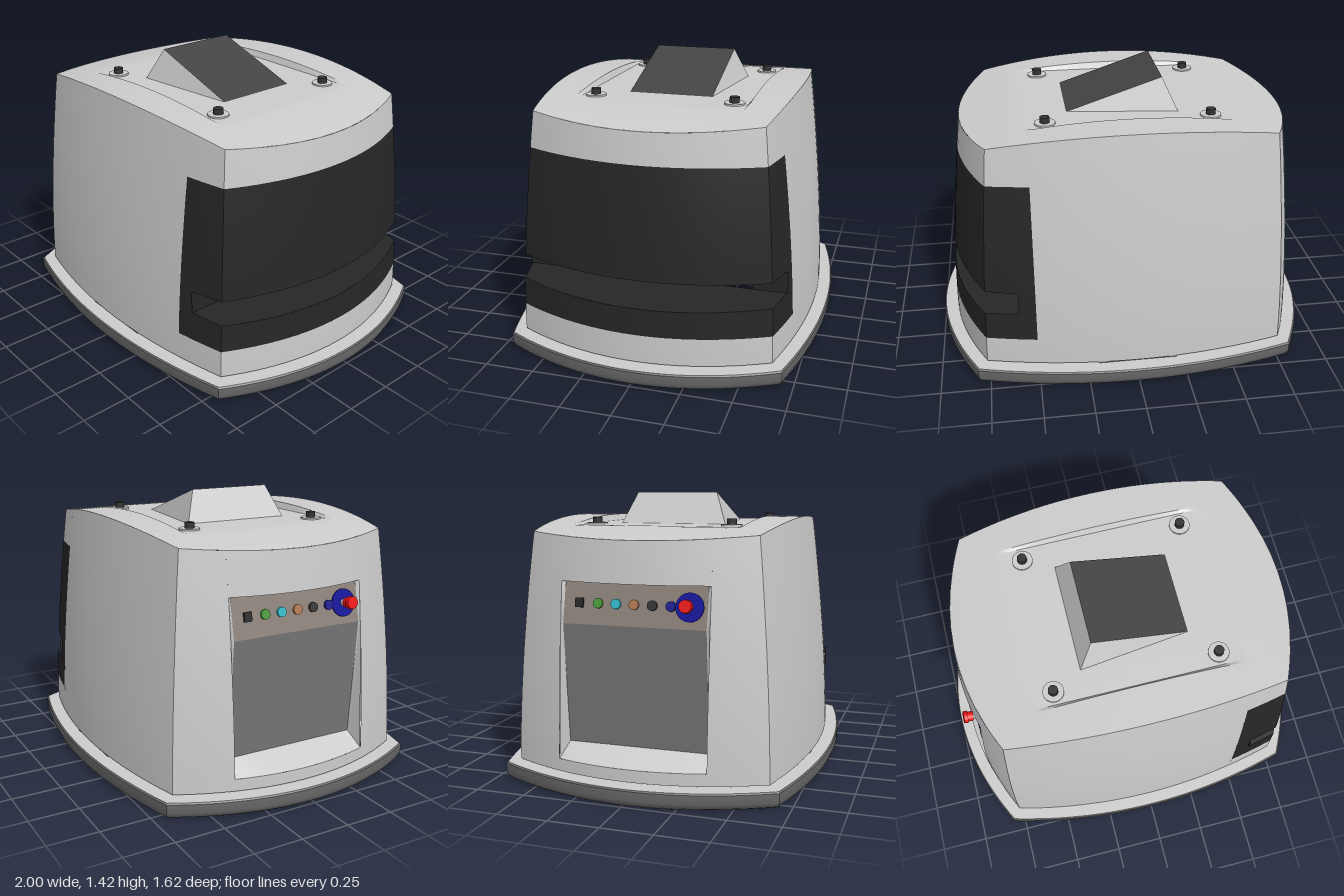
import * as THREE from 'three';
import { toCreasedNormals } from 'three/addons/utils/BufferGeometryUtils.js';

const LIGHT = 0xcccccc, DARK = 0x262626, GREY = 0x777777, RUBBER = 0x6a6a6a;
const lerp = THREE.MathUtils.lerp, clamp = THREE.MathUtils.clamp;

const material = (color) => new THREE.MeshStandardMaterial({ color, side: THREE.DoubleSide });

// Grid surface from a rule f(u, v) -> [x, y, z], u and v in 0..1
function patch(parent, name, color, nu, nv, f, crease = 0) {
  const pos = [], index = [];
  for (let j = 0; j <= nv; j++) for (let i = 0; i <= nu; i++) pos.push(...f(i / nu, j / nv));
  for (let j = 0; j < nv; j++) for (let i = 0; i < nu; i++) {
    const a = j * (nu + 1) + i, b = a + nu + 1;
    index.push(a, a + 1, b + 1, a, b + 1, b);
  }
  // turn the winding so that fronts face away from the middle of the model
  const at = (k) => new THREE.Vector3().fromArray(pos, k * 3);
  const m = (nv >> 1) * (nu + 1) + (nu >> 1);
  const o = at(m), n = at(m + 1).sub(o).cross(at(m + nu + 1).sub(o));
  if (n.dot(o.clone().sub(new THREE.Vector3(0, 0.5, 0))) < 0) index.reverse();
  let geo = new THREE.BufferGeometry();
  geo.setAttribute('position', new THREE.Float32BufferAttribute(pos, 3));
  geo.setIndex(index);
  geo.computeVertexNormals();
  if (crease) geo = toCreasedNormals(geo, crease);
  const mesh = new THREE.Mesh(geo, material(color));
  mesh.name = name;
  parent.add(mesh);
  return mesh;
}

// Four-arc outline: corners at (cx, cz), arcs bulging out to bx and bz
const plan = (d, u, v) => [
  u * (d.bx - (d.bx - d.cx) * v * v),
  v * (d.bz - (d.bz - d.cz) * u * u),
];
const Y0 = 0.095;
function bodyDims(y) {
  const t = Math.pow(Math.max(0, (y - Y0) / 1.14), 1.6);
  return { cx: 0.762 - 0.062 * t, cz: 0.64 - 0.075 * t, bx: 0.928 - 0.096 * t, bz: 0.737 - 0.1 * t };
}
const roofY = (x) => 1.294 - 0.122 * x * x;
const slotLow = (x) => lerp(0.385, 0.37, (x - 0.59) / 0.32);
const slotHigh = (x) => lerp(0.495, 0.51, (x - 0.59) / 0.32);
const flat = (y) => () => y;

// Piece of a body wall between positions a and b (x on long sides, z on ends)
function wall(parent, name, color, axis, sign, a, b, lo, hi) {
  patch(parent, name, color, 24, 12, (u, v) => {
    let y = 0.7, p;
    for (let k = 0; k < 7; k++) {
      const d = bodyDims(y), c = axis === 'z' ? d.cx : d.cz;
      const s = lerp(clamp(a, -c, c), clamp(b, -c, c), u) / c;
      p = axis === 'z' ? plan(d, s, sign) : plan(d, sign, s);
      y = lerp(lo(p[0]), hi(p[0]), v);
    }
    return [p[0], y, p[1]];
  });
}

// Point on the right-hand end wall (-x) at height y and depth z
function endPoint(y, z) {
  const d = bodyDims(y);
  return [plan(d, -1, z / d.cz)[0], y, z];
}

function addBody(g) {
  const base = flat(Y0), p0 = flat(0.235), p1 = flat(1.055);
  // long sides with the dark panel wrapping round
  for (const s of [1, -1]) {
    wall(g, 'sideWall', LIGHT, 'z', s, -9, 0.505, base, roofY);
    wall(g, 'sideWallBelowPanel', LIGHT, 'z', s, 0.505, 9, base, p0);
    wall(g, 'sideWallAbovePanel', LIGHT, 'z', s, 0.505, 9, p1, roofY);
    wall(g, 'panelSideLower', DARK, 'z', s, 0.505, 9, p0, slotLow);
    wall(g, 'panelSideUpper', DARK, 'z', s, 0.505, 9, slotHigh, p1);
    wall(g, 'panelSideStrip', DARK, 'z', s, 0.505, 0.59, slotLow, slotHigh);
    // back wall of the slot, open in the middle
    patch(g, 'slotBack', DARK, 1, 1, (u, v) => [0.59, lerp(0.385, 0.495, v), s * lerp(0.5, 0.675, u)]);
  }
  // panel end
  wall(g, 'endWallBelowPanel', LIGHT, 'x', 1, -9, 9, base, p0);
  wall(g, 'endWallAbovePanel', LIGHT, 'x', 1, -9, 9, p1, roofY);
  wall(g, 'panelEndLower', DARK, 'x', 1, -9, 9, p0, slotLow);
  wall(g, 'panelEndUpper', DARK, 'x', 1, -9, 9, slotHigh, p1);
  // floor and ceiling of the slot
  for (const [name, h] of [['slotFloor', slotLow], ['slotCeiling', slotHigh]])
    patch(g, name, DARK, 12, 24, (u, v) => {
      const d = bodyDims(h(0.8)), w = v * 2 - 1;
      const u0 = 0.59 / (d.bx - (d.bx - d.cx) * w * w);
      const [x, z] = plan(d, lerp(u0, 1, u), w);
      return [x, h(x), z];
    });
  // control end, around the pocket
  wall(g, 'endWallEdge', LIGHT, 'x', -1, -9, -0.37, base, roofY);
  wall(g, 'endWallEdge', LIGHT, 'x', -1, 0.37, 9, base, roofY);
  wall(g, 'endWallBelowPocket', LIGHT, 'x', -1, -0.37, 0.37, base, flat(0.155));
  wall(g, 'endWallAbovePocket', LIGHT, 'x', -1, -0.37, 0.37, flat(1.01), roofY);

  // roof with a flat cut: rows are [z limit or rim share, is cut]
  const rows = [];
  for (let k = 0; k <= 6; k++) rows.push([1 - k / 6, 0.435, false, -1]);
  for (let k = 0; k <= 8; k++) rows.push([k / 4 - 1, 0.42, true, 1]);
  for (let k = 0; k <= 6; k++) rows.push([k / 6, 0.435, false, 1]);
  patch(g, 'roof', LIGHT, 48, rows.length - 1, (i, j) => {
    const [k, edge, cut, s] = rows[Math.round(j * (rows.length - 1))], u = i * 2 - 1;
    let y = 1.25, p;
    for (let n = 0; n < 6; n++) {
      const d = bodyDims(y), vk = edge / (d.bz - (d.bz - d.cz) * u * u);
      p = plan(d, u, cut ? k * vk : s * lerp(vk, 1, k));
      y = roofY(p[0]);
    }
    return [p[0], cut ? Math.min(y, 1.26) : y, p[1]];
  }, 0.3);
}

function addPocket(g) {
  // pocket profile from the top of the control plate to the floor
  const prof = [[-0.79, 1.01], [-0.83, 0.81], [-0.78, 0.22]];
  const W = 0.355, across = (u, w) => lerp(-w, w, u);
  const sheet = (name, color, a, b) => patch(g, name, color, 4, 1, (u, v) =>
    [lerp(a[0], b[0], v), lerp(a[1], b[1], v), across(u, W)]);
  sheet('controlPlate', 0x8c827a, prof[0], prof[1]);
  sheet('pocketBack', GREY, prof[1], prof[2]);
  const ledge = (name, [x, y], yOut) => patch(g, name, LIGHT, 16, 1, (u, v) => {
    const e = endPoint(yOut, across(u, 0.37));
    return [lerp(x, e[0], v), lerp(y, e[1], v), lerp(across(u, W), e[2], v)];
  });
  ledge('pocketTop', prof[0], 1.01);
  ledge('pocketFloor', prof[2], 0.155);
  for (const s of [1, -1]) patch(g, 'pocketSide', LIGHT, 1, 2, (u, v) => {
    const k = Math.round(v * 2), e = endPoint([1.01, 0.81, 0.155][k], s * 0.37);
    return [lerp(e[0], prof[k][0], u), lerp(e[1], prof[k][1], u), lerp(e[2], s * W, u)];
  });

  // controls: local y points out of the plate
  const controls = new THREE.Group();
  controls.name = 'controls';
  controls.position.set(-0.81, 0.91, 0);
  controls.rotation.z = 1.37;
  g.add(controls);
  const knob = (name, color, z, y, r, h, rTop = r) => {
    const m = new THREE.Mesh(new THREE.CylinderGeometry(rTop, r, h, 24), material(color));
    m.name = name;
    m.position.set(0, y + h / 2, z);
    controls.add(m);
  };
  const sw = new THREE.Mesh(new THREE.BoxGeometry(0.045, 0.012, 0.04), material(DARK));
  sw.name = 'switch';
  sw.position.set(0, 0.006, -0.275);
  controls.add(sw);
  [0x4a9a3a, 0x30b8c8, 0xb07850, 0x333333, 0x1a1a90].forEach((c, i) =>
    knob('button', c, -0.18 + 0.09 * i, 0, 0.024, 0.012));
  knob('stopDisc', 0x0a0a99, 0.27, 0, 0.068, 0.006);
  knob('stopStem', 0xcccccc, 0.27, 0, 0.018, 0.04);
  knob('stopButton', 0xee1111, 0.27, 0.03, 0.025, 0.03);
  knob('stopButtonCap', 0xee1111, 0.27, 0.058, 0.032, 0.02, 0.03);
}

function addBase(g) {
  const dims = (k) => ({ cx: 0.81 - k, cz: 0.697 - k, bx: 1 - k, bz: 0.808 - k });
  // [inset, height] profiles swept along each of the four arcs
  const parts = [
    ['baseTop', LIGHT, [[0.1, 0.085], [0.006, 0.085]]],
    ['baseRim', RUBBER, [[0.006, 0.085], [0, 0.078], [0, 0.035], [0.008, 0.012], [0.025, 0], [0.1, 0]]],
    ['baseInside', LIGHT, [[0.1, 0], [0.1, 0.085]]],
  ];
  for (const [name, color, prof] of parts)
    for (const axis of ['x', 'z']) for (const s of [1, -1])
      patch(g, name, color, 32, prof.length - 1, (u, v) => {
        const [k, y] = prof[Math.round(v * (prof.length - 1))], w = u * 2 - 1;
        const [x, z] = axis === 'x' ? plan(dims(k), s, w) : plan(dims(k), w, s);
        return [x, y, z];
      }, 0.7);
  // small tabs joining base and body
  for (const s of [1, -1]) {
    const tab = new THREE.Mesh(new THREE.BoxGeometry(0.4, 0.014, 0.03), material(RUBBER));
    tab.name = 'tab';
    tab.position.set(0, 0.09, s * 0.712);
    g.add(tab);
  }
}

function addRoofParts(g) {
  // wedge-shaped hatch with a dark sloping face
  const quad = (name, color, a, b, c, d) => patch(g, name, color, 1, 1, (u, v) =>
    [0, 1, 2].map((i) => lerp(lerp(a[i], b[i], u), lerp(c[i], d[i], u), v)));
  const back = (s) => [-0.26, 1.26, s * 0.28], top = (s) => [-0.188, 1.42, s * 0.215];
  const front = (s) => [0.295, 1.26, s * 0.215];
  quad('hatchScreen', 0x444444, top(-1), top(1), front(-1), front(1));
  quad('hatchBack', LIGHT, back(-1), back(1), top(-1), top(1));
  for (const s of [1, -1]) quad('hatchSide', LIGHT, back(s), front(s), top(s), front(s));
  // bolts on washers
  for (const x of [-0.41, 0.41]) for (const z of [-0.355, 0.355])
    for (const [name, color, r, h] of [['washer', LIGHT, 0.052, 0.008], ['bolt', 0x333333, 0.024, 0.036]]) {
      const m = new THREE.Mesh(new THREE.CylinderGeometry(r, r, h, 24), material(color));
      m.name = name;
      m.position.set(x, 1.26 + h / 2, z);
      g.add(m);
    }
}

export function createModel() {
  const model = new THREE.Group();
  model.name = 'machineHousing';
  for (const [name, build] of [['body', addBody], ['pocket', addPocket], ['base', addBase], ['roofParts', addRoofParts]]) {
    const part = new THREE.Group();
    part.name = name;
    build(part);
    model.add(part);
  }
  return model;
}
